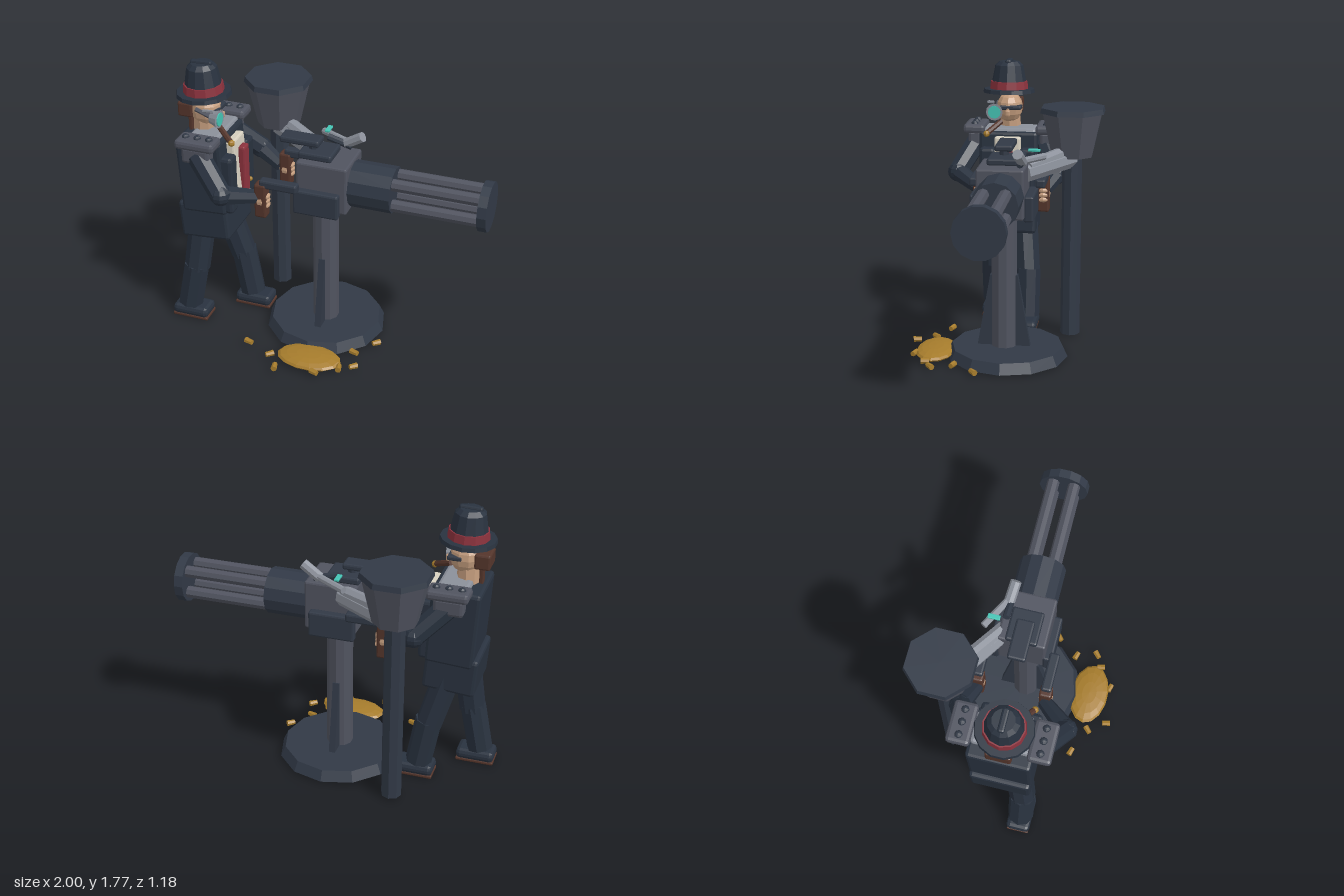
import * as THREE from 'three';
import { RoundedBoxGeometry } from 'three/addons/geometries/RoundedBoxGeometry.js';

const paint = (name, color) => {
  const m = new THREE.MeshStandardMaterial({ color });
  m.name = name;
  return m;
};

export function createModel() {
  const navy = paint('navy cloth', 0x29323f);
  const iron = paint('dark iron', 0x313946);
  const steel = paint('grey steel', 0x50535f);
  const silver = paint('light steel', 0x8b909a);
  const red = paint('red', 0x8c323d);
  const brown = paint('brown', 0x54352b);
  const skin = paint('skin', 0xc39c7d);
  const gold = paint('brass', 0xa67c2c);
  const teal = paint('teal glass', 0x45c4b4);
  const cream = paint('cream', 0xd6cfbf);

  const model = new THREE.Group();
  const group = (name) => {
    const g = new THREE.Group();
    g.name = name;
    model.add(g);
    return g;
  };
  // faceted mesh helper
  const add = (g, name, geo, mat, pos) => {
    const flat = geo.index ? geo.toNonIndexed() : geo;
    flat.computeVertexNormals();
    const m = new THREE.Mesh(flat, mat);
    m.name = name;
    m.position.set(...pos);
    g.add(m);
    return m;
  };
  // bevelled box given by its extents
  const box = (g, name, mat, [x0, x1], [y0, y1], [z0, z1], bevel = 0.012) => {
    const s = [x1 - x0, y1 - y0, z1 - z0];
    const geo = new RoundedBoxGeometry(...s, 1, Math.min(bevel, Math.min(...s) * 0.4));
    return add(g, name, geo, mat, [(x0 + x1) / 2, (y0 + y1) / 2, (z0 + z1) / 2]);
  };
  // cylinder from point a (radius ra) to point b (radius rb)
  const rod = (g, name, mat, a, b, ra, rb = ra, sides = 8) => {
    const A = new THREE.Vector3(...a), B = new THREE.Vector3(...b);
    const d = B.clone().sub(A);
    const m = add(g, name, new THREE.CylinderGeometry(rb, ra, d.length(), sides), mat,
      A.clone().add(B).multiplyScalar(0.5).toArray());
    m.quaternion.setFromUnitVectors(new THREE.Vector3(0, 1, 0), d.normalize());
    return m;
  };
  const ball = (g, name, mat, r, pos, scale = [1, 1, 1], w = 10, h = 8) => {
    const m = add(g, name, new THREE.SphereGeometry(r, w, h), mat, pos);
    m.scale.set(...scale);
    return m;
  };

  // ---- gun stand ----
  const gz = -0.02;
  const stand = group('stand');
  rod(stand, 'standBase', iron, [-0.03, 0.015, -0.04], [-0.03, 0.08, -0.04], 0.38, 0.35, 12);
  rod(stand, 'standColumn', steel, [-0.025, 0.07, gz], [-0.025, 0.95, gz], 0.082, 0.08, 10);
  for (const s of [-1, 1]) {
    const fin = new THREE.Shape([[0.06, 0.08], [0.165, 0.08], [0.085, 0.54], [0.06, 0.54]]
      .map((p) => new THREE.Vector2(...p)));
    const m = add(stand, 'standFin', new THREE.ExtrudeGeometry(fin, { depth: 0.04, bevelEnabled: false }),
      iron, [s < 0 ? -0.005 : -0.045, 0, gz]);
    m.rotation.y = -s * Math.PI / 2;
    if (s > 0) m.position.x = -0.005;
    else m.position.x = -0.045;
  }

  // ---- gun ----
  const gun = group('gun');
  box(gun, 'receiver', steel, [-0.165, 0.155], [0.93, 1.24], [gz - 0.14, gz + 0.15]);
  for (const s of [-1, 1]) {
    const zc = gz + s * 0.165;
    box(gun, 'sidePlate', iron, [-0.17, 0.115], [0.91, 1.07], [zc - 0.03, zc + 0.03]);
    const hz = gz + s * 0.207;
    box(gun, 'handleBar', iron, [-0.37, -0.13], [1.065, 1.12], [hz - 0.032, hz + 0.03]);
    box(gun, 'handleGrip', brown, [-0.4, -0.325], [0.865, 1.09], [hz - 0.037, hz + 0.037]);
  }
  rod(gun, 'barrelHousing', iron, [0.15, 1.08, gz], [0.415, 1.08, gz], 0.143, 0.143, 12);
  for (const dy of [-1, 1]) for (const dz of [-1, 1]) {
    const y = 1.08 + dy * 0.07, z = gz + dz * 0.065;
    rod(gun, 'barrel', steel, [0.4, y, z], [0.96, y, z], 0.038);
  }
  rod(gun, 'muzzleDisc', iron, [0.945, 1.08, gz], [1, 1.08, gz], 0.153, 0.153, 14);
  box(gun, 'topCover', iron, [-0.17, 0.04], [1.235, 1.28], [-0.11, 0.08]);
  box(gun, 'topLever', iron, [-0.3, -0.05], [1.305, 1.345], [-0.065, 0.045]);
  rod(gun, 'leverPost', iron, [-0.1, 1.26, -0.01], [-0.1, 1.32, -0.01], 0.03);
  rod(gun, 'sightBracket', iron, [-0.05, 1.3, -0.13], [0.1, 1.26, -0.13], 0.022);
  rod(gun, 'sightTube', silver, [0.06, 1.27, -0.14], [0.17, 1.34, -0.125], 0.033);
  rod(gun, 'sightTail', silver, [-0.12, 1.27, -0.25], [0.08, 1.28, -0.14], 0.022);
  box(gun, 'sightGlass', teal, [-0.085, -0.055], [1.31, 1.325], [-0.235, -0.16], 0.004);

  // ---- ammunition hopper ----
  const hopper = group('hopper');
  const hx = -0.475, hz = -0.395;
  rod(hopper, 'hopperPole', iron, [hx, 0.015, hz], [hx, 1.22, hz], 0.063);
  const funnel = rod(hopper, 'hopperFunnel', steel, [hx, 1.205, hz], [hx, 1.49, hz], 0.135, 0.2, 8);
  funnel.rotation.set(0, Math.PI / 8, 0);
  const rim = rod(hopper, 'hopperRim', iron, [hx, 1.485, hz], [hx, 1.518, hz], 0.216, 0.208, 8);
  rim.rotation.set(0, Math.PI / 8, 0);
  rod(hopper, 'feedChute', silver, [-0.46, 1.19, -0.38], [-0.08, 1.17, -0.13], 0.065, 0.06);
  rod(hopper, 'feedChuteTop', silver, [-0.36, 1.23, -0.32], [-0.1, 1.2, -0.15], 0.045);

  // ---- spent casings ----
  const casings = group('casings');
  ball(casings, 'casingPile', gold, 1, [0.015, 0.037, 0.405], [0.205, 0.033, 0.125], 14, 8);
  [[-0.4, 0.375], [-0.23, 0.45], [-0.155, 0.56], [0.26, 0.26], [0.3, 0.395],
    [0.22, 0.44], [0.09, 0.53], [0.36, 0.12]].forEach(([x, z], i) => {
    const a = i * 2.1 + 0.3, dx = Math.cos(a) * 0.026, dz = Math.sin(a) * 0.026;
    rod(casings, 'casing', gold, [x - dx, 0.035, z - dz], [x + dx, 0.035, z + dz], 0.019, 0.016, 7);
  });

  // ---- gunner ----
  const man = group('gunner');
  const mz = 0.035;
  // legs and shoes, one striding back and one forward
  const leg = (z, hip, knee, ankle, foot) => {
    rod(man, 'thigh', navy, [hip, 0.72, mz + z * 0.75], [knee, 0.37, mz + z], 0.085, 0.082);
    rod(man, 'shin', navy, [knee, 0.4, mz + z], [ankle, 0.09, mz + z], 0.083, 0.082);
    box(man, 'shoe', navy, [foot - 0.12, foot + 0.12], [0.018, 0.085], [mz + z - 0.075, mz + z + 0.075], 0.025);
    box(man, 'shoeSole', brown, [foot - 0.12, foot + 0.12], [0.004, 0.024], [mz + z - 0.07, mz + z + 0.07], 0.006);
  };
  leg(0.125, -0.79, -0.835, -0.895, -0.875);
  leg(-0.135, -0.72, -0.62, -0.565, -0.545);
  // coat
  box(man, 'coatBody', navy, [-0.895, -0.6], [0.82, 1.31], [mz - 0.19, mz + 0.19], 0.02).rotation.z = 0.06;
  box(man, 'coatSkirt', navy, [-0.905, -0.585], [0.635, 0.88], [mz - 0.185, mz + 0.185], 0.02).rotation.z = 0.08;
  box(man, 'shirt', cream, [-0.63, -0.55], [0.86, 1.29], [mz - 0.085, mz + 0.085]).rotation.z = 0.08;
  box(man, 'tie', red, [-0.56, -0.515], [0.92, 1.24], [mz - 0.038, mz + 0.038]);
  for (const s of [-1, 1]) {
    const z = mz + s * 0.13;
    box(man, 'coatFront', navy, [-0.68, -0.545], [0.84, 1.22], [z - 0.05, z + 0.05], 0.02);
    ball(man, 'coatButton', gold, 0.015, [-0.543, 0.95, mz + s * 0.1]);
  }
  // shoulder armour
  box(man, 'collarPlate', silver, [-0.83, -0.64], [1.28, 1.335], [mz - 0.18, mz + 0.18], 0.02);
  for (const s of [-1, 1]) {
    const z = 0.025 + s * 0.235;
    box(man, 'shoulderPad', steel, [-0.86, -0.61], [1.3, 1.36], [z - 0.07, z + 0.07], 0.02);
    box(man, 'shoulderCap', steel, [-0.83, -0.65], [1.2, 1.31], [z - 0.045, z + 0.045], 0.02);
    for (const x of [-0.81, -0.735, -0.66]) ball(man, 'shoulderBolt', iron, 0.024, [x, 1.36, z], [1, 0.8, 1], 8, 6);
    // arm reaching to the grip
    const elbow = [-0.555, 1.06, mz + s * 0.32], grip = gz + s * 0.207;
    rod(man, 'upperArm', navy, [-0.74, 1.24, mz + s * 0.215], elbow, 0.07, 0.066);
    ball(man, 'elbow', navy, 0.067, elbow);
    rod(man, 'forearm', navy, elbow, [-0.4, 0.99, grip], 0.062, 0.045);
    ball(man, 'hand', skin, 0.045, [-0.365, 0.975, grip], [1, 1.1, 0.95]);
    for (let i = 0; i < 3; i++) {
      ball(man, 'finger', skin, 0.02, [-0.325, 0.945 + i * 0.03, grip], [0.8, 0.8, 1.6], 6, 5);
    }
  }
  // head
  rod(man, 'neck', skin, [-0.79, 1.25, mz], [-0.785, 1.42, 0.045], 0.07, 0.065);
  ball(man, 'head', skin, 0.1, [-0.77, 1.455, 0.045], [1.0, 1.0, 0.87]);
  box(man, 'nose', skin, [-0.685, -0.65], [1.41, 1.45], [0.03, 0.06], 0.008);
  box(man, 'hair', brown, [-0.925, -0.83], [1.41, 1.505], [-0.03, 0.12]);
  box(man, 'hairTail', brown, [-0.88, -0.855], [1.27, 1.42], [0.02, 0.07], 0.006);
  box(man, 'eyeBand', iron, [-0.76, -0.672], [1.45, 1.478], [-0.04, 0.1], 0.008);
  // eyepiece
  rod(man, 'eyepiece', silver, [-0.7, 1.44, 0.125], [-0.645, 1.44, 0.13], 0.035, 0.056, 12);
  rod(man, 'eyepieceGlass', teal, [-0.646, 1.44, 0.13], [-0.64, 1.44, 0.13], 0.042, 0.042, 12);
  rod(man, 'eyepieceArm', silver, [-0.74, 1.49, 0.15], [-0.66, 1.505, 0.17], 0.01, 0.01, 6);
  rod(man, 'eyepieceStrap', steel, [-0.8, 1.48, 0.125], [-0.69, 1.44, 0.125], 0.015, 0.015, 6);
  // cigar
  rod(man, 'cigar', brown, [-0.67, 1.375, 0.09], [-0.565, 1.32, 0.162], 0.018, 0.018, 7);
  ball(man, 'cigarEnd', gold, 0.021, [-0.556, 1.314, 0.168], [1, 1, 1], 8, 6);
  // hat
  const hat = group('hat');
  hat.position.set(-0.775, 1.565, 0.05);
  hat.rotation.z = 0.04;
  rod(hat, 'hatBrim', navy, [0, -0.012, 0], [0, 0.012, 0], 0.17, 0.165, 14);
  rod(hat, 'hatBand', red, [0, 0.01, 0], [0, 0.062, 0], 0.126, 0.12, 12);
  rod(hat, 'hatCrown', navy, [0, 0.05, 0], [0, 0.165, 0], 0.114, 0.092, 12);
  rod(hat, 'hatCrownTop', navy, [0, 0.165, 0], [0, 0.19, 0], 0.092, 0.065, 12);
  box(hat, 'hatCrease', navy, [-0.07, 0.07], [0.17, 0.205], [-0.02, 0.02], 0.012);
  return model;
}
